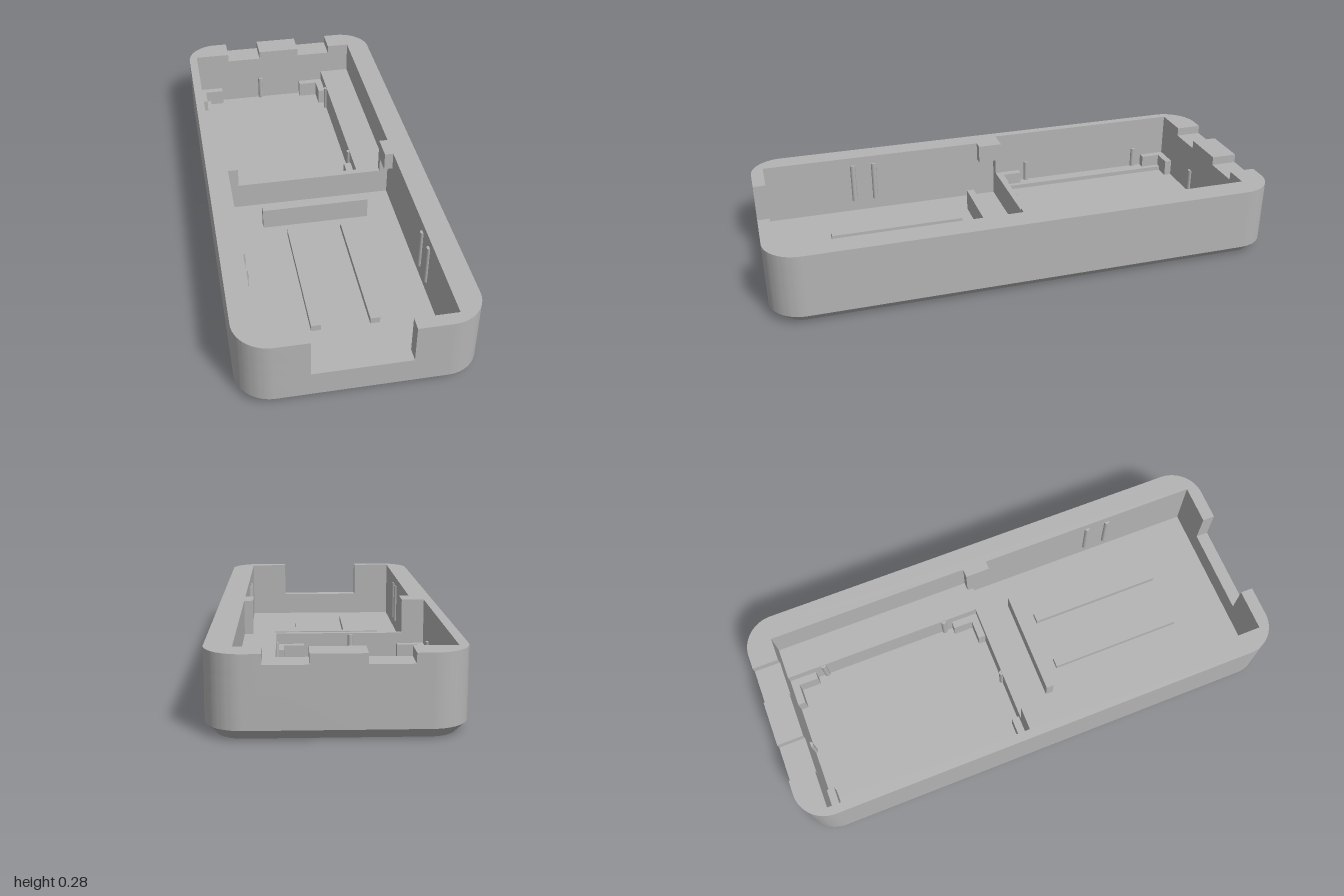
import * as THREE from 'three';
import { ConvexGeometry } from 'three/addons/geometries/ConvexGeometry.js';
import { toCreasedNormals } from 'three/addons/utils/BufferGeometryUtils.js';

const W = 0.43, L = 1, R = 0.13;          // outer half width, half length, corner radius
const FLOOR = 0.037, DECK = 0.148, RIM = 0.285;
const NOTCH = { 1: 0.175, '-1': -0.18 };  // front opening edges

export function createModel() {
  const group = new THREE.Group();
  const plastic = new THREE.MeshStandardMaterial({ color: 0xb4b4b4 });
  plastic.name = 'grey plastic';

  const add = (name, geometry) => {
    const mesh = new THREE.Mesh(geometry, plastic);
    mesh.name = name;
    group.add(mesh);
    return mesh;
  };
  const box = (name, x0, x1, y0, y1, z0, z1) => {
    add(name, new THREE.BoxGeometry(x1 - x0, y1 - y0, z1 - z0))
      .position.set((x0 + x1) / 2, (y0 + y1) / 2, (z0 + z1) / 2);
  };
  // Upright round rib, half sunk in a wall
  const rib = (name, x, z, y0, y1) => {
    add(name, new THREE.CylinderGeometry(0.011, 0.011, y1 - y0, 12))
      .position.set(x, (y0 + y1) / 2, z);
  };
  // Plan shapes use (x, -z) and are raised from y0 to y1
  const raise = (name, shape, y0, y1) => {
    const g = new THREE.ExtrudeGeometry(shape, { depth: y1 - y0, bevelEnabled: false, curveSegments: 12 });
    g.rotateX(-Math.PI / 2).translate(0, y0, 0);
    add(name, toCreasedNormals(g, 0.5));
  };
  // Outer edge of one side, from the front to the back
  const sideEdge = (path, s) => {
    const cx = s * (W - R), cz = L - R, mid = s > 0 ? 0 : Math.PI;
    const from = s > 0 ? -Math.PI / 2 : Math.PI * 1.5;
    path.lineTo(cx, -L);
    path.absarc(cx, -cz, R, from, mid, s < 0);
    path.absarc(cx, cz, R, mid, Math.PI / 2, s < 0);
  };

  // Chamfered bottom plate
  const points = [];
  for (const [y, inset] of [[0, 0.037], [FLOOR, 0]]) {
    for (let q = 0; q < 4; q++) {
      const sx = q === 0 || q === 3 ? 1 : -1, sz = q < 2 ? 1 : -1;
      for (let i = 0; i <= 10; i++) {
        const a = (q + i / 10) * Math.PI / 2, r = R - inset;
        points.push(new THREE.Vector3(sx * (W - R) + r * Math.cos(a), y, sz * (L - R) + r * Math.sin(a)));
      }
    }
  }
  add('bottomPlate', toCreasedNormals(new ConvexGeometry(points), 0.5));

  // Lower body: front tray and rear pocket, with the deck around the pocket
  const lower = new THREE.Shape();
  lower.moveTo(NOTCH[1], -L);
  sideEdge(lower, 1);
  lower.lineTo(-(W - R), L);
  lower.absarc(-(W - R), L - R, R, Math.PI / 2, Math.PI, false);
  lower.absarc(-(W - R), -(L - R), R, Math.PI, Math.PI * 1.5, false);
  for (const [x, z] of [[-0.18, 1], [-0.18, 0.95], [-0.345, 0.95], [-0.345, -0.045],
    [0.335, -0.045], [0.335, 0.95], [0.175, 0.95]]) lower.lineTo(x, -z);
  lower.closePath();
  const pocket = new THREE.Path();
  pocket.setFromPoints([[-0.395, 0.07], [-0.395, 0.895], [0.205, 0.895], [0.205, 0.07]]
    .map(([x, y]) => new THREE.Vector2(x, y)));
  pocket.closePath();
  lower.holes.push(pocket);
  raise('lowerBody', lower, FLOOR, DECK);
  box('frontSill', -0.18, 0.175, FLOOR, 0.135, 0.95, 1);

  // Upper side walls with the middle blocks; the block is deeper at the top
  for (const s of [1, -1]) {
    const [front, rear, block, back] = s > 0 ? [0.335, 0.335, 0.3, 0.24] : [-0.345, -0.395, -0.305, -0.245];
    for (const [y0, y1, zb] of [[DECK, 0.21, -0.045], [0.21, RIM, 0.03]]) {
      const wall = new THREE.Shape();
      wall.moveTo(NOTCH[s], -L);
      sideEdge(wall, s);
      for (const [x, z] of [[back, -1], [back, -0.895], [rear, -0.895], [rear, -0.07], [block, -0.07],
        [block, zb], [front, zb], [front, 0.95], [NOTCH[s], 0.95]]) wall.lineTo(x, -z);
      wall.closePath();
      raise(s > 0 ? 'leftWall' : 'rightWall', wall, y0, y1);
    }
  }

  // Back wall with two shallow notches
  box('backWall', -0.245, 0.24, DECK, 0.25, -1, -0.895);
  box('backWallTab', -0.095, 0.09, 0.25, RIM, -1, -0.895);

  // Floor details of the front tray
  box('crossBar', -0.22, 0.215, FLOOR, 0.125, 0.08, 0.11);
  for (const x of [-0.13, 0.09]) box('floorRail', x, x + 0.037, FLOOR, 0.062, 0.165, 0.715);
  for (const x of [-0.345, 0.335]) {
    for (const z of [0.49, 0.58]) rib('trayRib', x, z, 0.085, 0.25);
  }

  // Pocket: side ledge, corner brackets and gripping ribs
  box('pocketLedge', -0.395, -0.345, FLOOR, 0.055, -0.895, -0.07);
  for (const [x, sx] of [[-0.395, 1], [0.205, -1]]) {
    for (const [z, sz] of [[-0.895, 1], [-0.07, -1]]) {
      const span = (a, d) => [Math.min(a, a + d), Math.max(a, a + d)];
      box('cornerBracket', ...span(x, sx * 0.11), FLOOR, 0.105, ...span(z, sz * 0.03));
      box('cornerBracket', ...span(x, sx * 0.03), FLOOR, 0.105, ...span(z + sz * 0.03, sz * 0.08));
    }
    for (const z of [-0.745, -0.215]) rib('pocketRib', x, z, FLOOR, DECK - 0.005);
  }
  for (const z of [-0.895, -0.07]) rib('pocketRib', -0.095, z, FLOOR, DECK - 0.005);

  return group;
}
